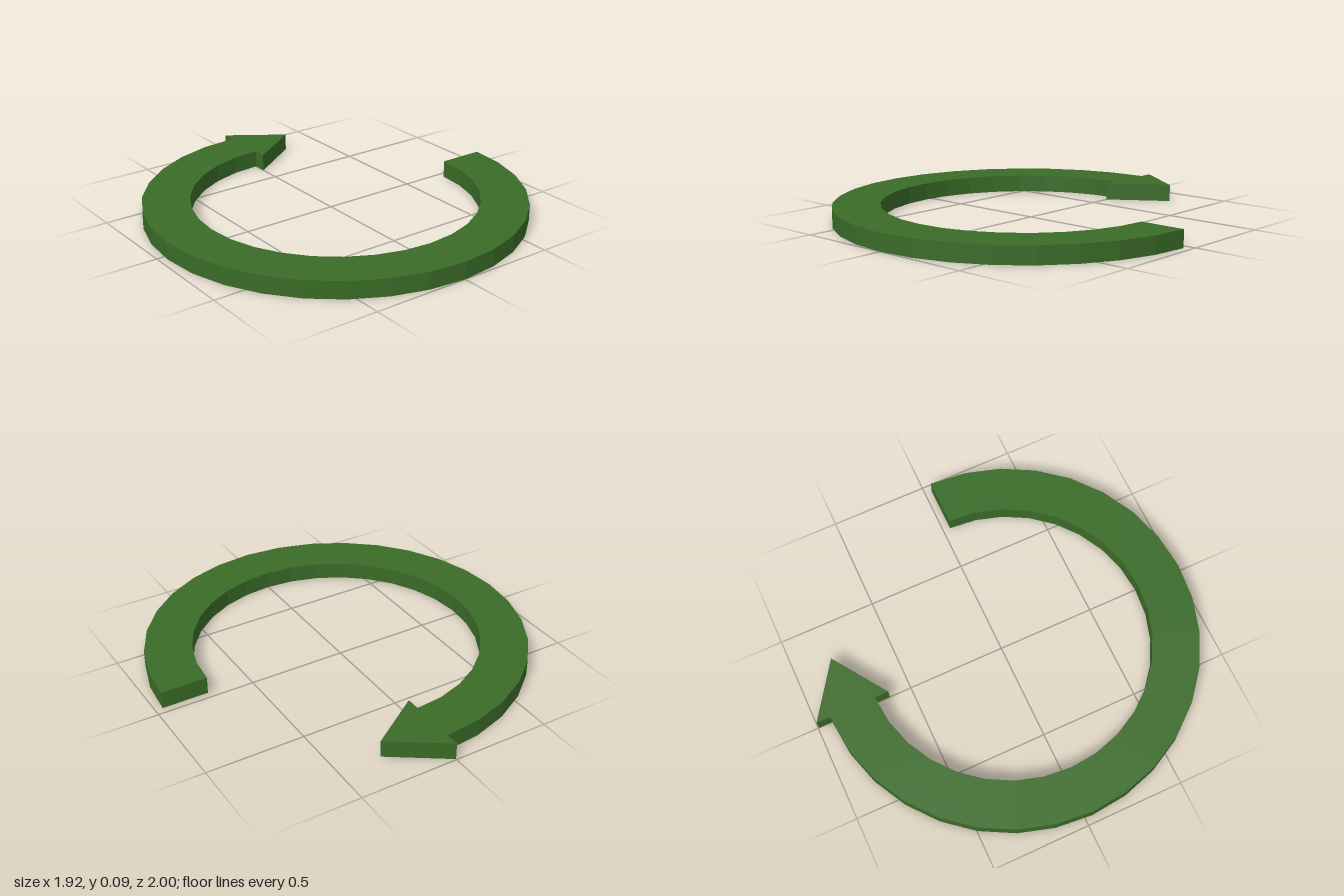
import * as THREE from 'three';

const OUTER = 0.962, INNER = 0.724, CENTRE_Z = 0.038;
const HEIGHT = 0.088, SEGMENTS = 24, SWEEP = Math.PI * 1.5;
const HEAD_HALF = 0.191, HEAD_LENGTH = 0.28;

export function createModel() {
  const group = new THREE.Group();
  group.name = 'circularArrow';

  // Point on the ring, swept clockwise from the tail at +x (shape y is -z)
  const ringPoint = (radius, i) => {
    const a = -SWEEP * i / SEGMENTS;
    return new THREE.Vector2(radius * Math.cos(a), radius * Math.sin(a) - CENTRE_Z);
  };

  // Outline: outer arc, arrow head, inner arc back to the tail
  const points = [];
  for (let i = 0; i <= SEGMENTS; i++) points.push(ringPoint(OUTER, i));
  const mid = (OUTER + INNER) / 2 - CENTRE_Z;
  points.push(
    new THREE.Vector2(0, mid + HEAD_HALF),
    new THREE.Vector2(HEAD_LENGTH, mid),
    new THREE.Vector2(0, mid - HEAD_HALF)
  );
  for (let i = SEGMENTS; i >= 0; i--) points.push(ringPoint(INNER, i));

  // Flat slab lying on the ground
  const geometry = new THREE.ExtrudeGeometry(new THREE.Shape(points), {
    depth: HEIGHT, bevelEnabled: false, steps: 1
  });
  geometry.rotateX(-Math.PI / 2);

  const arrow = new THREE.Mesh(
    geometry,
    new THREE.MeshStandardMaterial({ color: 0x3a6b28, flatShading: true })
  );
  arrow.name = 'curvedArrow';
  group.add(arrow);
  return group;
}
